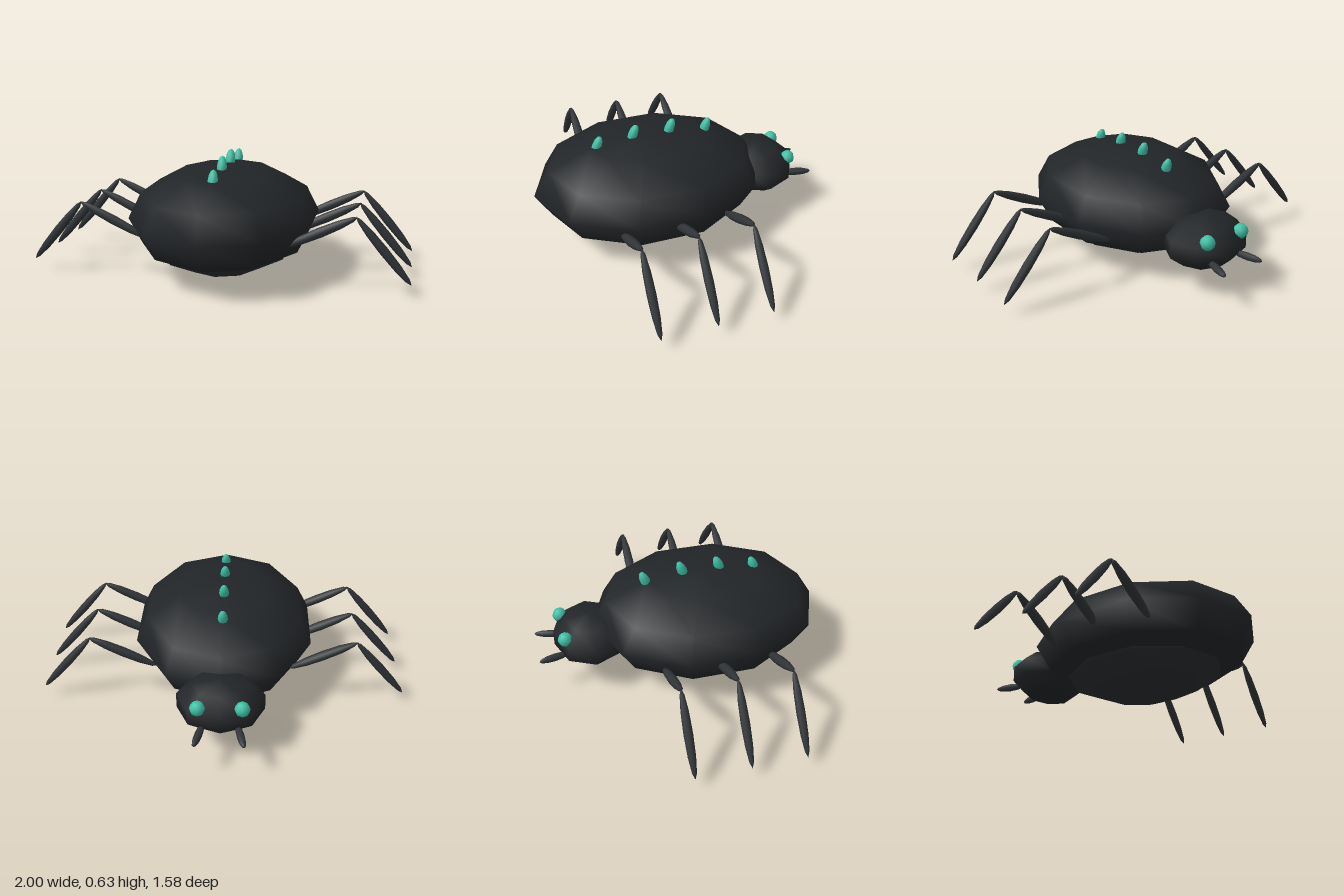
import * as THREE from 'three';

const SHELL = new THREE.MeshStandardMaterial({ color: 0x222528 });
const BELLY = new THREE.MeshStandardMaterial({ color: 0x2a2d30 });
const LIMB = new THREE.MeshStandardMaterial({ color: 0x313538 });
const GLOW = new THREE.MeshStandardMaterial({ color: 0x3fc0a6 });

// Low-poly ellipsoid with a facet corner on the z axis and its poles along y
function ellipsoid(name, material, radii, position, around, rings) {
  const geometry = new THREE.SphereGeometry(1, around, rings);
  geometry.rotateY(Math.PI / 2);
  geometry.scale(...radii);
  const mesh = new THREE.Mesh(geometry, material);
  mesh.name = name;
  mesh.position.set(...position);
  return mesh;
}

// Slender ellipsoid stretched between two points
function spindle(name, material, from, to, radius) {
  const a = new THREE.Vector3(...from);
  const b = new THREE.Vector3(...to);
  const axis = b.clone().sub(a);
  const centre = a.add(b).multiplyScalar(0.5);
  const mesh = ellipsoid(name, material, [radius, axis.length() / 2, radius], centre.toArray(), 8, 6);
  mesh.quaternion.setFromUnitVectors(new THREE.Vector3(0, 1, 0), axis.normalize());
  return mesh;
}

export function createModel() {
  const beetle = new THREE.Group();
  beetle.name = 'beetle';

  // Body, underside and head
  beetle.add(
    ellipsoid('shell', SHELL, [0.507, 0.275, 0.637], [0, 0.31, 0.153], 10, 6),
    ellipsoid('belly', BELLY, [0.41, 0.225, 0.5], [0, 0.23, 0.153], 10, 6),
    ellipsoid('head', SHELL, [0.24, 0.14, 0.207], [0, 0.258, -0.495], 8, 5)
  );

  // Spikes along the back, leaning towards the head
  for (const [z, y] of [[0.435, 0.55], [0.235, 0.583], [0.03, 0.583], [-0.175, 0.55]]) {
    beetle.add(spindle('backSpike', GLOW, [0, y - 0.057, z + 0.022], [0, y + 0.057, z - 0.022], 0.027));
  }

  for (const side of [1, -1]) {
    const name = side > 0 ? 'left' : 'right';

    // Eye and mandible
    beetle.add(
      ellipsoid(name + 'Eye', GLOW, [0.04, 0.04, 0.04], [side * 0.112, 0.325, -0.64], 8, 6),
      spindle(name + 'Mandible', LIMB, [side * 0.085, 0.208, -0.62], [side * 0.125, 0.208, -0.79], 0.021)
    );

    // Three bent legs
    for (const z of [-0.16, 0.127, 0.414]) {
      const leg = new THREE.Group();
      leg.name = name + 'Leg';
      leg.add(
        spindle('upperLeg', LIMB, [side * 0.36, 0.225, z], [side * 0.725, 0.402, z], 0.026),
        spindle('lowerLeg', LIMB, [side * 0.715, 0.405, z], [side * 0.998, 0.07, z], 0.024)
      );
      beetle.add(leg);
    }
  }
  return beetle;
}
